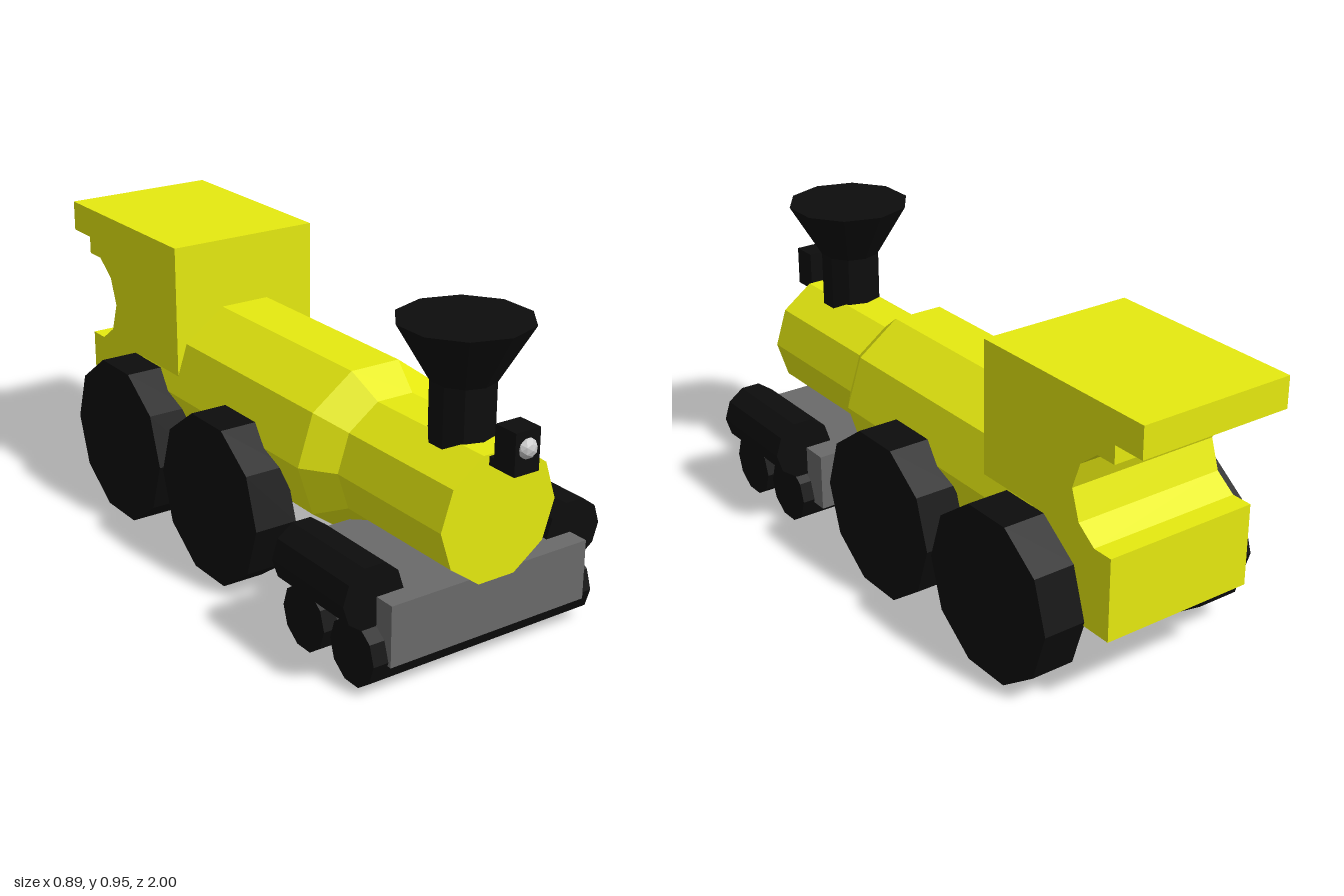
import * as THREE from 'three';

const material = (color) => new THREE.MeshStandardMaterial({ color, flatShading: true });
const SIDES = 10;

export function createModel() {
  const group = new THREE.Group();
  const yellow = material(0xe6ea10);
  const black = material(0x0d0d0d);
  const darkGrey = material(0x6a6a6a);
  const lightGrey = material(0xcccccc);

  const add = (name, geometry, mat, x = 0, y = 0, z = 0) => {
    const mesh = new THREE.Mesh(geometry, mat);
    mesh.name = name;
    mesh.position.set(x, y, z);
    group.add(mesh);
    return mesh;
  };
  const outline = (points) => new THREE.Shape(points.map(([x, y]) => new THREE.Vector2(x, y)));
  // Ten-sided drums lying along x or along z
  const drumX = (r, length) => new THREE.CylinderGeometry(r, r, length, SIDES).rotateZ(Math.PI / 2);
  const drumZ = (r, length) =>
    new THREE.CylinderGeometry(r, r, length, SIDES).rotateY(Math.PI / 2).rotateX(Math.PI / 2);

  // Boiler: narrow smokebox flaring into the wide barrel, closed at both ends
  const boilerProfile = [[0, -0.57], [0.264, -0.57], [0.264, 0.33], [0.195, 0.425], [0.195, 0.88], [0, 0.88]];
  const boiler = new THREE.LatheGeometry(boilerProfile.map(([r, z]) => new THREE.Vector2(r, z)), SIDES);
  add('boiler', boiler.rotateY(Math.PI / 2).rotateX(Math.PI / 2), yellow, 0, 0.45, 0);

  // Cab: side profile (z, y) with scooped back and overhanging roof
  const cabShape = outline([
    [-0.35, 0.24], [-0.35, 0.915], [-1, 0.915], [-1, 0.82], [-0.897, 0.82], [-0.897, 0.765],
    [-0.83, 0.765], [-0.765, 0.713], [-0.735, 0.63], [-0.765, 0.54], [-0.83, 0.493],
    [-0.897, 0.493], [-0.897, 0.24],
  ]);
  const cab = new THREE.ExtrudeGeometry(cabShape, { depth: 0.492, bevelEnabled: false });
  add('cab', cab.translate(0, 0, -0.246).rotateY(-Math.PI / 2), yellow);

  // Driving wheels
  for (const z of [0.005, -0.538]) {
    add('leftDrivingWheel', drumX(0.262, 0.135), black, 0.31, 0.253, z);
    add('rightDrivingWheel', drumX(0.262, 0.135), black, -0.296, 0.253, z);
  }

  // Front truck: plan outline (x, z) with clipped rear corners
  const truckShape = outline([
    [-0.337, 0.865], [-0.337, 0.405], [-0.322, 0.385], [0.337, 0.385], [0.337, 0.865],
  ].map(([x, z]) => (x === 0.337 && z === 0.385 ? [0.337, 0.385] : [x, z])));
  const truck = new THREE.ExtrudeGeometry(truckShape, { depth: 0.182, bevelEnabled: false });
  add('frontTruck', truck.rotateX(Math.PI / 2), darkGrey, 0, 0.277, 0);

  // Full-width rollers under the truck
  for (const z of [0.757, 0.533]) add('truckRoller', drumX(0.098, 0.761), black, -0.004, 0.107, z);

  // Steam cylinders on both sides
  for (const side of [1, -1]) {
    add(side > 0 ? 'leftSteamCylinder' : 'rightSteamCylinder', drumZ(0.0975, 0.33), black, side * 0.347, 0.278, 0.635);
  }

  // Chimney: stack with a flared top
  const chimneyProfile = [[0, 0.6], [0.093, 0.6], [0.093, 0.787], [0.191, 0.953], [0, 0.953]];
  add('chimney', new THREE.LatheGeometry(chimneyProfile.map(([r, y]) => new THREE.Vector2(r, y)), SIDES),
    black, -0.002, 0, 0.718);

  // Headlamp: housing, foot and bulb
  add('lampHousing', new THREE.BoxGeometry(0.083, 0.122, 0.08), black, 0, 0.666, 0.938);
  add('lampFoot', new THREE.BoxGeometry(0.083, 0.025, 0.06), black, 0, 0.618, 0.88);
  add('lampBulb', new THREE.IcosahedronGeometry(0.032, 1), lightGrey, 0, 0.677, 0.968);

  return group;
}
